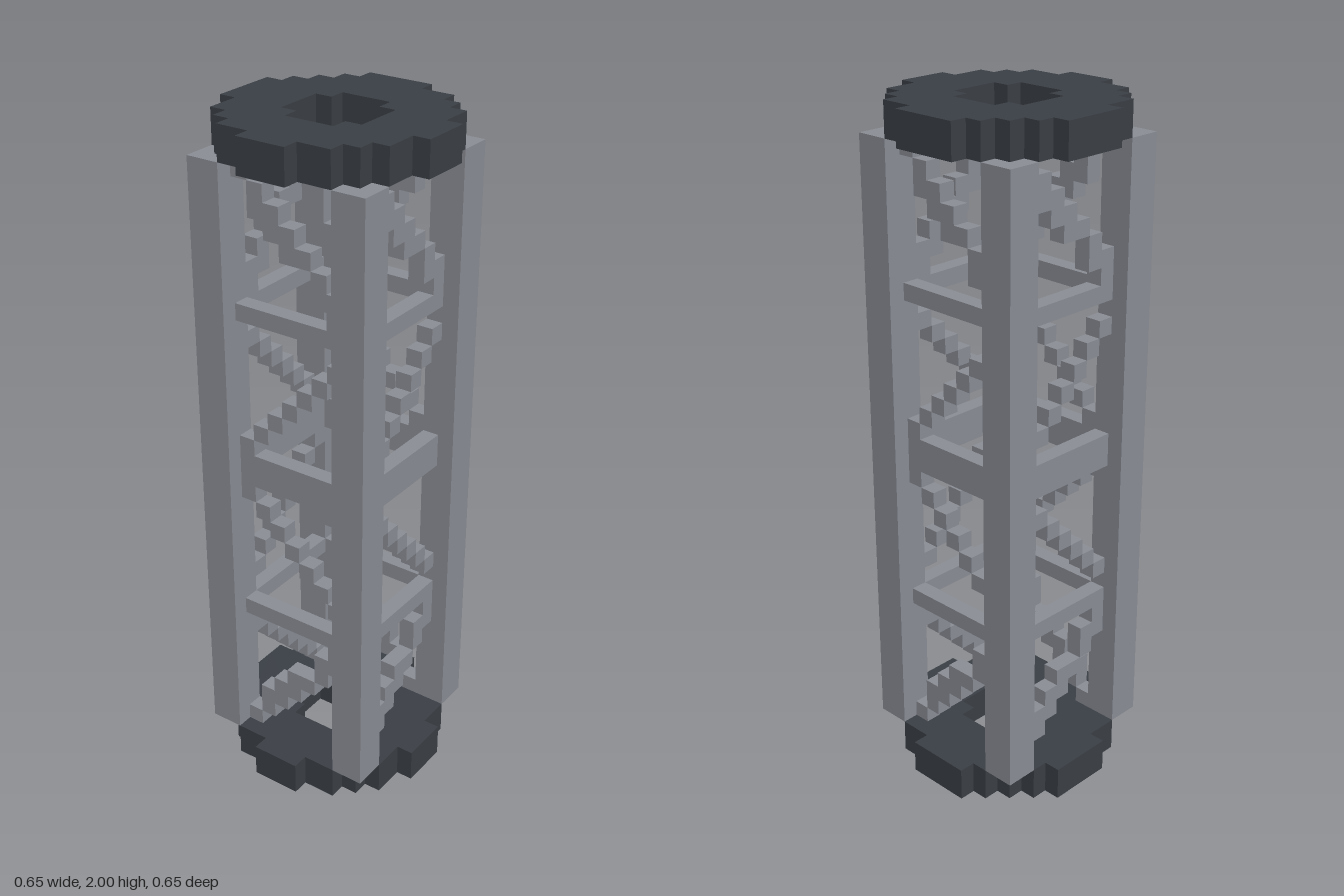
import * as THREE from 'three';
import { mergeGeometries } from 'three/addons/utils/BufferGeometryUtils.js';

const CELL = 0.05;

function material(name, color) {
  const m = new THREE.MeshStandardMaterial({ color });
  m.name = name;
  return m;
}

// Stepped outline from rows [minX, maxX], stacked one cell each from z = startZ
function steppedPoints(rows, startZ) {
  const left = [], right = [];
  rows.forEach(([a, b], i) => {
    const z0 = startZ + i * CELL, z1 = z0 + CELL;
    right.push(new THREE.Vector2(b, z0), new THREE.Vector2(b, z1));
    left.push(new THREE.Vector2(a, z0), new THREE.Vector2(a, z1));
  });
  return right.concat(left.reverse());
}

function box(w, h, d, x, y, z) {
  return new THREE.BoxGeometry(w, h, d).translate(x, y, z);
}

export function createModel() {
  const model = new THREE.Group();
  model.name = 'latticeTower';
  const steel = material('steelGrey', 0x8c8f97);
  const dark = material('darkRing', 0x3b4046);
  const add = (name, geometry, mat, parent = model) => {
    const mesh = new THREE.Mesh(geometry, mat);
    mesh.name = name;
    parent.add(mesh);
    return mesh;
  };

  // End rings: blocky discs with a cross-shaped opening
  const outline = [
    [-0.125, 0.075], [-0.175, 0.175], [-0.225, 0.225], [-0.275, 0.275], [-0.325, 0.275],
    [-0.325, 0.325], [-0.325, 0.325], [-0.325, 0.325],
    [-0.275, 0.275], [-0.275, 0.275], [-0.225, 0.225], [-0.175, 0.175], [-0.075, 0.075],
  ];
  const opening = [[-0.075, 0.075], [-0.125, 0.125], [-0.125, 0.125], [-0.125, 0.125], [-0.075, 0.075]];
  const ringShape = new THREE.Shape(steppedPoints(outline, -0.325));
  ringShape.holes.push(new THREE.Path(steppedPoints(opening, -0.125)));
  const ring = new THREE.ExtrudeGeometry(ringShape, { depth: 0.1, bevelEnabled: false }).rotateX(Math.PI / 2);
  add('bottomRing', ring, dark).position.y = 0.1;
  add('topRing', ring, dark).position.y = 2;

  // Corner posts
  for (const sx of [-1, 1]) for (const sz of [-1, 1]) {
    add('cornerPost', box(0.1, 1.8, 0.1, sx * 0.225, 1, sz * 0.225), steel);
  }

  // Zigzag brace: one stepped diagonal per bay, columns listed row by row downwards;
  // the lower two bays mirror the upper two
  const outerBay = [[-3], [-2], [-2, -1], [-1, 0], [0, 1], [2], [2, 3], [3]];
  const innerBay = [[], [3], [2], [1], [0], [-1], [-2], [-3]];
  const braceCells = [];
  for (const [rows, top] of [[outerBay, 1.9], [innerBay, 1.45]]) {
    rows.forEach((columns, i) => {
      const y = top - (i + 0.5) * CELL;
      for (const c of columns) for (const py of [y, 2 - y]) {
        braceCells.push(box(CELL, CELL, CELL, c * CELL, py, 0.2));
      }
    });
  }
  const braces = mergeGeometries(braceCells);

  // Four identical side panels, so the diagonals of opposite sides cross
  for (let side = 0; side < 4; side++) {
    const panel = new THREE.Group();
    panel.name = 'sidePanel';
    panel.rotation.y = side * Math.PI / 2;
    add('lowerBar', box(0.35, 0.05, 0.05, 0, 0.525, 0.2), steel, panel);
    add('middleBar', box(0.35, 0.1, 0.05, 0, 1, 0.2), steel, panel);
    add('upperBar', box(0.35, 0.05, 0.05, 0, 1.475, 0.2), steel, panel);
    add('zigzagBrace', braces, steel, panel);
    model.add(panel);
  }
  return model;
}
